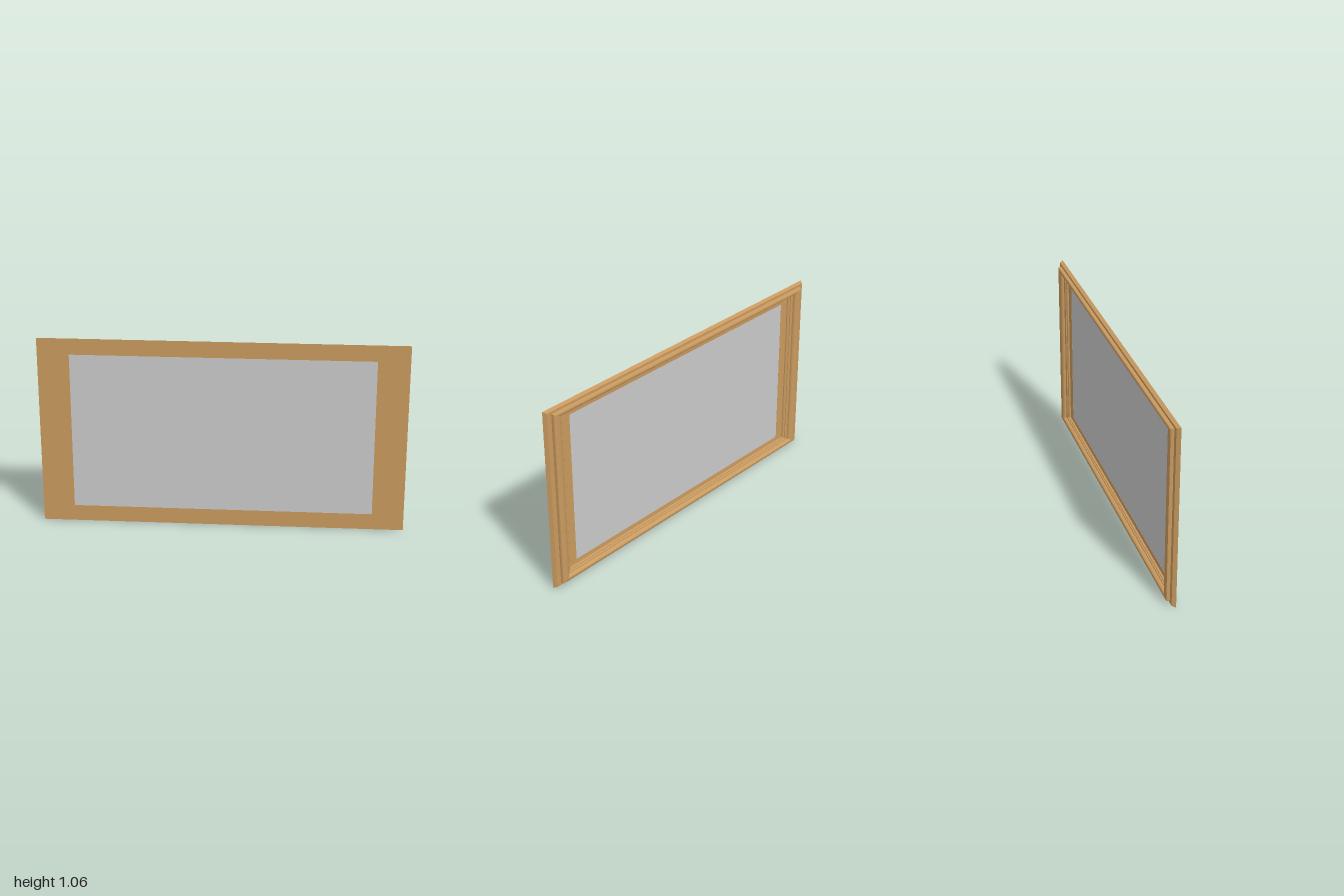
import * as THREE from 'three';
import { toCreasedNormals } from 'three/addons/utils/BufferGeometryUtils.js';

const HALF_W = 1, HALF_H = 0.53;        // outer half sizes of the frame
const BORDER_X = 0.174, BORDER_Y = 0.09; // stiles are wider than the rails
const FRONT = 0.02;

// Moulding section, outer front edge round the back to the opening: [inset, z]
const PROFILE = [
  [0, FRONT], [0.013, 0], [0.04, 0],                                // bevelled rim and ledge
  [0.04, -0.014], [0.042, -0.018], [0.048, -0.02], [0.07, -0.02],   // raised bead
  [0.08, -0.018], [0.088, -0.012], [0.092, -0.004],
  [0.092, 0], [0.102, 0], [0.107, 0.003], [0.108, 0.008],           // small inner steps
  [0.118, 0.008], [0.122, 0.012], [0.123, 0.0185],
  [BORDER_X, 0.0195], [BORDER_X, FRONT],                            // thin lip
];

const CORNERS = [[1, -1], [1, 1], [-1, 1], [-1, -1]];

// Point of the section at a mitred corner
function mitrePoint([inset, z], [sx, sy]) {
  const dy = inset * BORDER_Y / BORDER_X;
  return [sx * (HALF_W - inset), HALF_H + sy * (HALF_H - dy), z];
}

// One mitred side, swept between two neighbouring corners
function sideGeometry(from, to) {
  const pos = [];
  PROFILE.forEach((p, i) => {
    const q = PROFILE[(i + 1) % PROFILE.length];
    const a = mitrePoint(p, from), b = mitrePoint(p, to);
    const c = mitrePoint(q, to), d = mitrePoint(q, from);
    pos.push(...a, ...d, ...c, ...a, ...c, ...b);
  });
  const geo = new THREE.BufferGeometry();
  geo.setAttribute('position', new THREE.Float32BufferAttribute(pos, 3));
  return toCreasedNormals(geo, 0.6);
}

export function createModel() {
  const wood = new THREE.MeshStandardMaterial({ color: 0xc99a5f });
  wood.name = 'wood';
  const canvas = new THREE.MeshStandardMaterial({ color: 0xc9c9c9, side: THREE.DoubleSide });
  canvas.name = 'pale grey';

  const model = new THREE.Group();
  model.name = 'pictureFrame';

  // Frame sides
  ['leftStile', 'topRail', 'rightStile', 'bottomRail'].forEach((name, k) => {
    const side = new THREE.Mesh(sideGeometry(CORNERS[k], CORNERS[(k + 1) % 4]), wood);
    side.name = name;
    model.add(side);
  });

  // Flat panel filling the opening
  const panel = new THREE.Mesh(
    new THREE.PlaneGeometry(2 * (HALF_W - BORDER_X), 2 * (HALF_H - BORDER_Y)), canvas);
  panel.name = 'panel';
  panel.position.set(0, HALF_H, FRONT);
  model.add(panel);

  return model;
}
